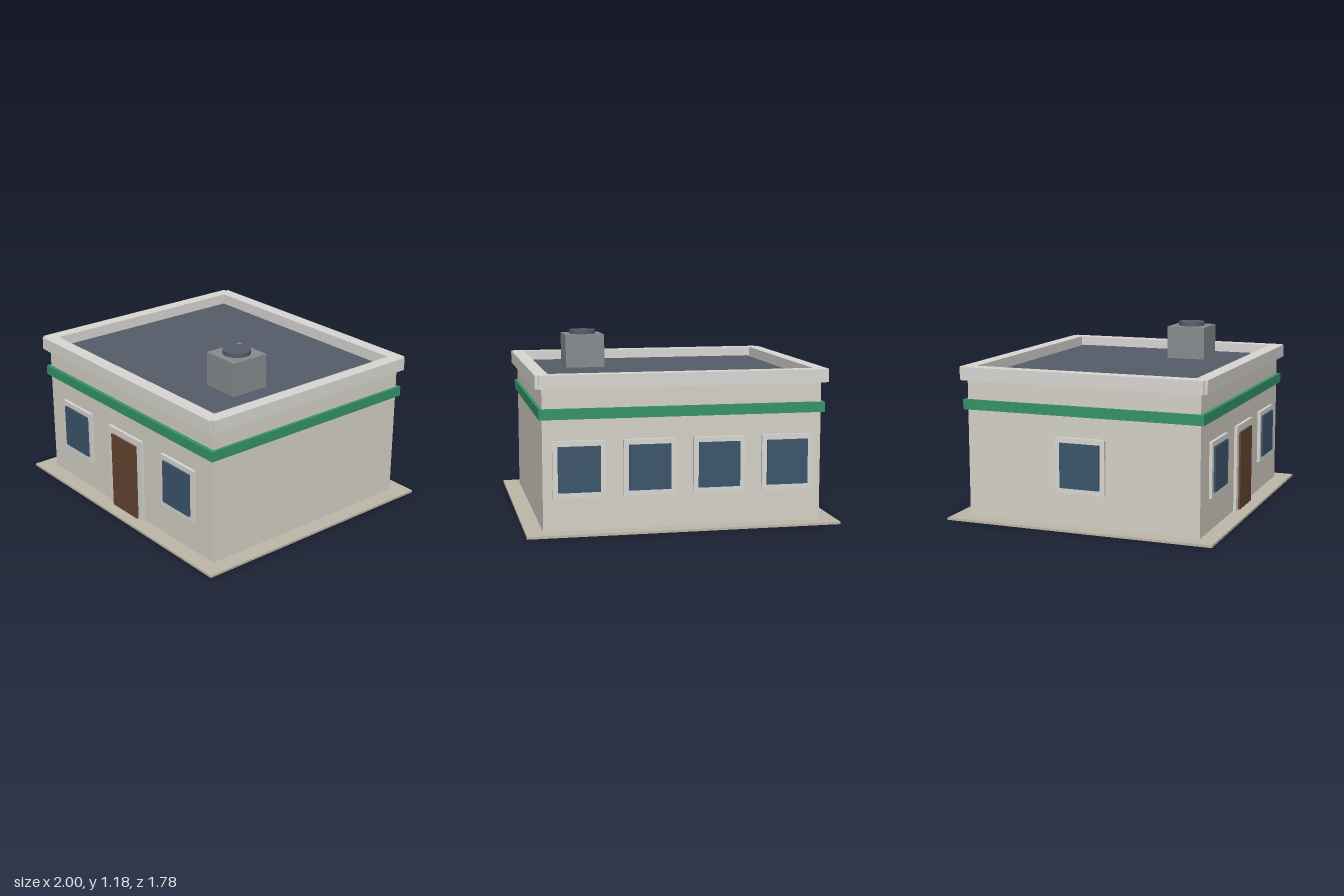
import * as THREE from 'three';

const mat = (color) => new THREE.MeshStandardMaterial({ color });

export function createModel() {
  const model = new THREE.Group();
  const wall = mat(0xd6d2c8), trim = mat(0xd9d8d3), paving = mat(0xbdb8a8), green = mat(0x359469);
  const glass = mat(0x3d556d), wood = mat(0x654632), roofing = mat(0x575d69), metal = mat(0x868c90);

  // box given by its min and max on each axis
  function box(name, material, [x0, x1], [y0, y1], [z0, z1], parent = model) {
    const mesh = new THREE.Mesh(new THREE.BoxGeometry(x1 - x0, y1 - y0, z1 - z0), material);
    mesh.position.set((x0 + x1) / 2, (y0 + y1) / 2, (z0 + z1) / 2);
    mesh.name = name;
    parent.add(mesh);
    return mesh;
  }

  // ground slab, body and roof deck
  box('groundSlab', paving, [-1, 1], [0, 0.015], [-0.89, 0.89]);
  box('walls', wall, [-0.89, 0.89], [0.015, 0.91], [-0.78, 0.78]);
  box('roofDeck', roofing, [-0.82, 0.82], [0.91, 0.93], [-0.71, 0.71]);

  // coloured band around the walls
  box('band', green, [-0.91, 0.91], [0.715, 0.78], [-0.805, 0.805]);

  // parapet: four rails with small notches at the corners
  const parapet = new THREE.Group();
  parapet.name = 'parapet';
  model.add(parapet);
  for (const s of [-1, 1]) {
    const span = (a, b) => (s > 0 ? [a, b] : [-b, -a]);
    box('parapetLong', trim, [-0.91, 0.91], [0.905, 0.99], span(0.735, 0.825), parapet);
    box('parapetSide', trim, span(0.845, 0.932), [0.905, 0.99], [-0.805, 0.805], parapet);
  }

  // window facing +z with its back on z = 0, turned onto a wall
  function addWindow(name, x, z, turn) {
    const group = new THREE.Group();
    group.name = name;
    box('windowFrame', trim, [-0.165, 0.165], [0.225, 0.58], [-0.01, 0.02], group);
    box('windowPane', glass, [-0.133, 0.133], [0.26, 0.547], [0, 0.033], group);
    group.position.set(x, 0, z);
    group.rotation.y = turn;
    model.add(group);
  }
  for (const x of [-0.555, 0.555]) addWindow('frontWindow', x, 0.78, 0);
  for (const x of [-0.665, -0.222, 0.222, 0.665]) addWindow('backWindow', x, -0.78, Math.PI);
  addWindow('sideWindow', -0.89, 0, -Math.PI / 2);

  // door
  box('doorFrame', trim, [-0.18, 0.18], [0.01, 0.58], [0.77, 0.8]);
  box('door', wood, [-0.133, 0.133], [0.01, 0.535], [0.78, 0.813]);

  // rooftop vent unit with a round cap
  box('ventUnit', metal, [0.355, 0.62], [0.92, 1.152], [0.13, 0.397]);
  const cap = new THREE.Mesh(new THREE.CylinderGeometry(0.09, 0.09, 0.04, 20), roofing);
  cap.position.set(0.487, 1.16, 0.263);
  cap.name = 'ventCap';
  model.add(cap);

  return model;
}
